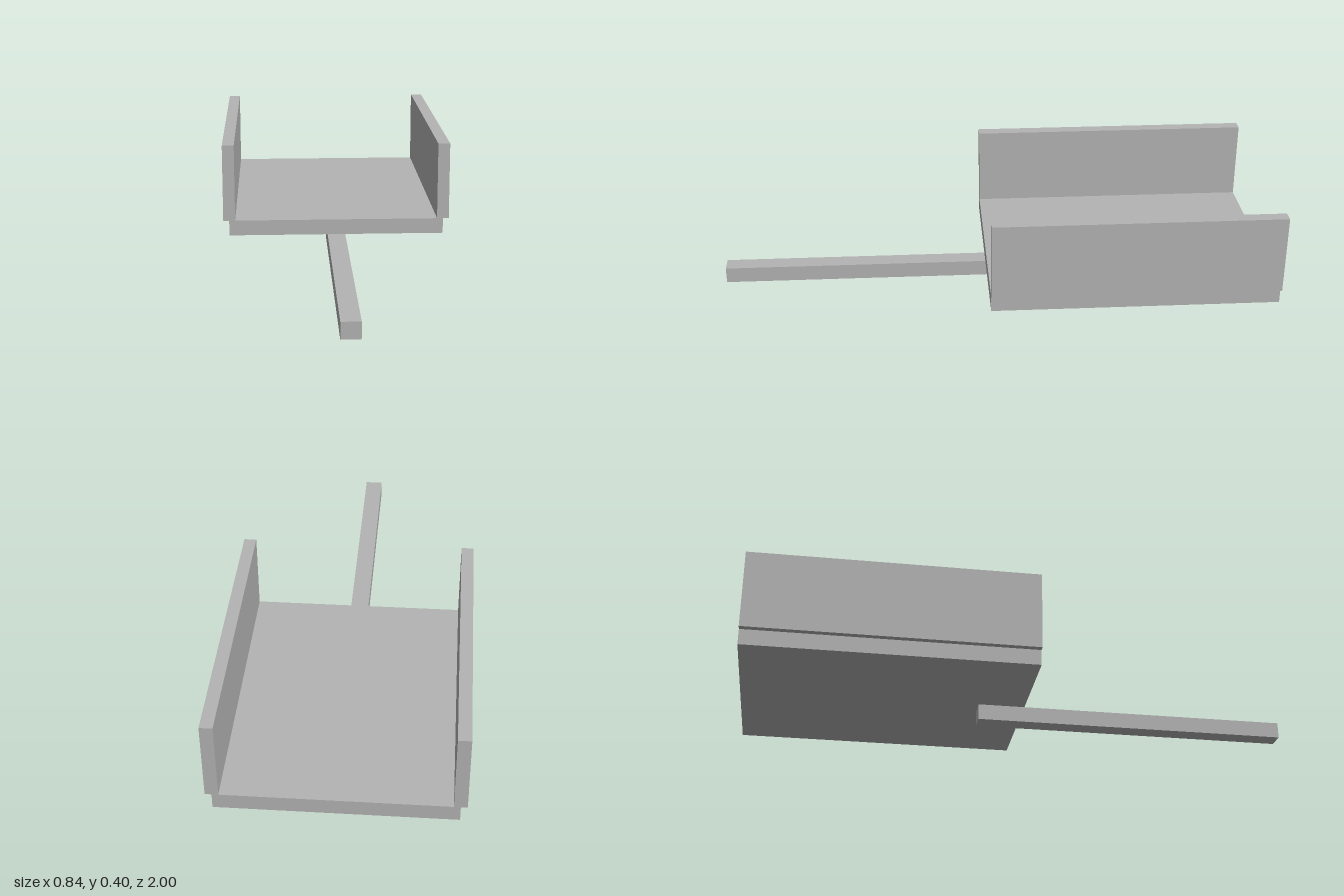
import * as THREE from 'three';

export function createModel() {
  const model = new THREE.Group();
  model.name = 'trailer';
  const grey = new THREE.MeshStandardMaterial({ color: 0xb3b3b3 });
  grey.name = 'plain grey';

  // Box given by its lower and upper corners
  function box(name, [x0, y0, z0], [x1, y1, z1]) {
    const mesh = new THREE.Mesh(new THREE.BoxGeometry(x1 - x0, y1 - y0, z1 - z0), grey);
    mesh.position.set((x0 + x1) / 2, (y0 + y1) / 2, (z0 + z1) / 2);
    mesh.name = name;
    model.add(mesh);
  }

  const barTop = 0.058, bedTop = 0.115, wallTop = 0.401;
  const back = -1, front = 0.03;

  // Tow bar running forward from under the bed
  box('towBar', [-0.033, 0, -0.14], [0.033, barTop, 1]);

  // Flat bed
  box('bed', [-0.4, barTop, back], [0.4, bedTop, front]);

  // Side walls, overhanging the bed edges slightly
  box('leftWall', [0.378, bedTop, back], [0.422, wallTop, front]);
  box('rightWall', [-0.422, bedTop, back], [-0.378, wallTop, front]);

  return model;
}
